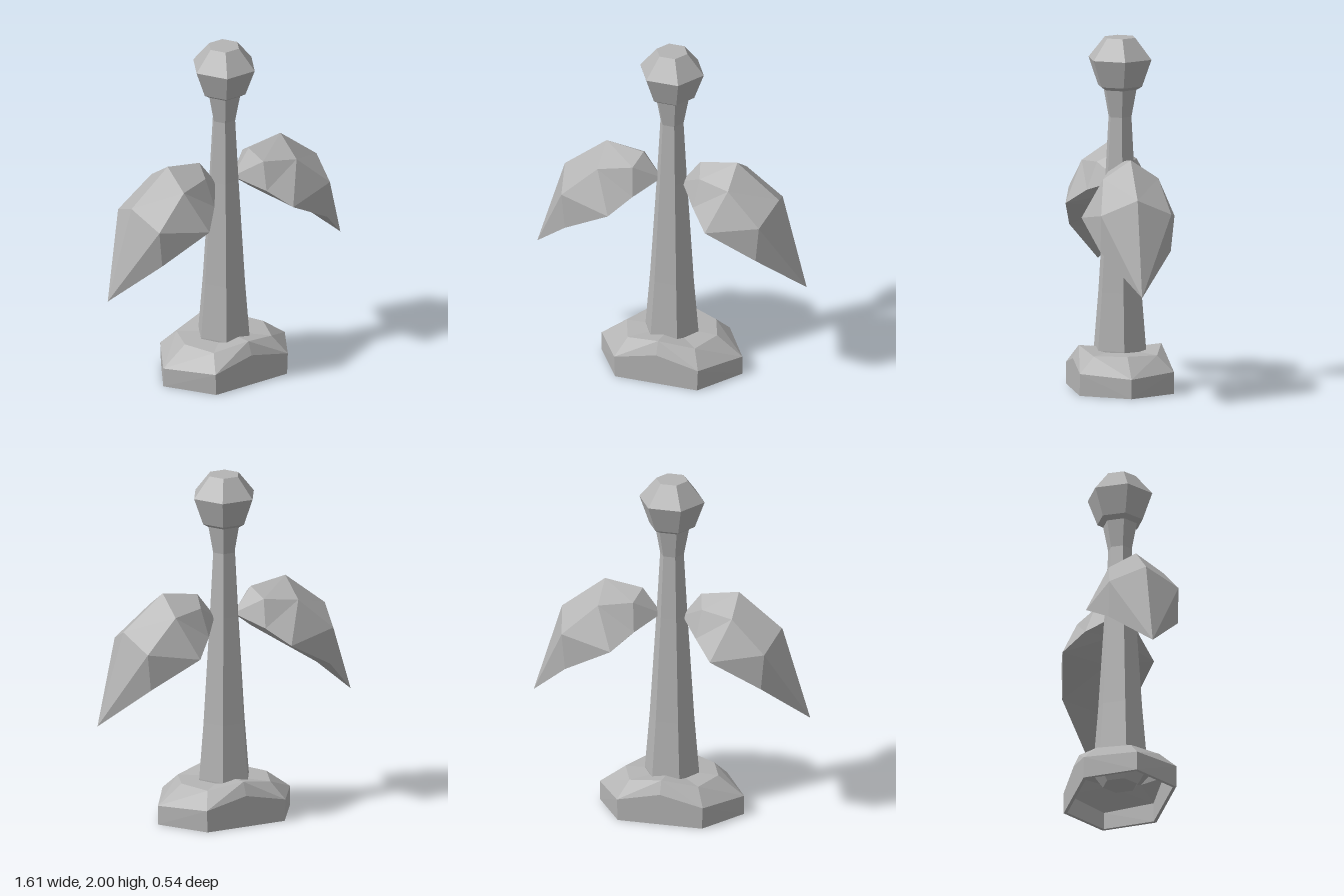
import * as THREE from 'three';

// Low-poly skin through rows of [x, y, z] points, mirrored across the given axes
function loft(rows, mirrorAxes) {
  const tris = [];
  const add = (...t) => {
    const [a, b, c] = t.map((p) => new THREE.Vector3(...p));
    if (b.sub(a).cross(c.sub(a)).length() > 1e-7) tris.push(t);
  };
  for (let i = 0; i < rows.length - 1; i++) {
    for (let j = 0; j < rows[i].length - 1; j++) {
      const a = rows[i][j], b = rows[i][j + 1];
      const c = rows[i + 1][j + 1], d = rows[i + 1][j];
      add(a, b, d);
      add(b, c, d);
    }
  }
  for (const axis of mirrorAxes) {
    const flip = (p) => p.map((v, k) => (k === axis ? -v : v));
    tris.push(...tris.map(([a, b, c]) => [flip(a), flip(c), flip(b)]));
  }
  const geo = new THREE.BufferGeometry();
  geo.setAttribute('position', new THREE.Float32BufferAttribute(tris.flat(2), 3));
  geo.computeVertexNormals();
  return geo;
}

// Six-sided turned shape with corners on the x axis
function hexLathe(profile) {
  const pts = profile.map(([r, y]) => new THREE.Vector2(r, y));
  return new THREE.LatheGeometry(pts, 6, Math.PI / 2);
}

export function createModel() {
  const group = new THREE.Group();
  const grey = new THREE.MeshStandardMaterial({ color: 0xb4b4b4, flatShading: true });
  grey.name = 'stone grey';
  const add = (name, geo) => {
    const mesh = new THREE.Mesh(geo, grey);
    mesh.name = name;
    group.add(mesh);
  };

  // Hollow base: one quarter, from the top outside, round the rim, to the inside
  const top = [0, 0.23, 0], ceiling = [0, 0.21, 0];
  add('base', loft([
    [top, top, top],
    [[0.27, 0.22, 0], [0.2, 0.215, 0.18], [0, 0.255, 0.235]],
    [[0.42, 0.11, 0], [0.25, 0.125, 0.268], [0, 0.18, 0.268]],
    [[0.42, 0, 0], [0.245, 0, 0.268], [0, 0, 0.268]],
    [[0.398, 0, 0], [0.234, 0, 0.25], [0, 0, 0.25]],
    [[0.398, 0.1, 0], [0.238, 0.115, 0.25], [0, 0.165, 0.25]],
    [[0.26, 0.202, 0], [0.19, 0.197, 0.165], [0, 0.235, 0.22]],
    [ceiling, ceiling, ceiling],
  ], [0, 2]));

  // Tapered stem, its rounded foot showing inside the base
  add('stem', hexLathe([
    [0, 0.07], [0.1, 0.09], [0.155, 0.17], [0.158, 0.23], [0.13, 0.56],
    [0.09, 1.18], [0.069, 1.55], [0.1, 1.71], [0, 1.73],
  ]));

  // Faceted bud
  add('bud', hexLathe([
    [0, 1.7], [0.1, 1.705], [0.133, 1.725], [0.19, 1.88], [0.092, 2], [0, 2],
  ]));

  // Drooping leaves: half sections from ridge to underside
  const base = [0.06, 1.175, 0], tip = [0.805, 0.63, 0];
  const leafRows = [
    [base, base, base, base],
    [[0.17, 1.32, 0], [0.2, 1.265, 0.1], [0.18, 1.11, 0.16], [0.17, 1.09, 0]],
    [[0.39, 1.355, 0], [0.39, 1.25, 0.157], [0.29, 1.02, 0.265], [0.33, 0.985, 0]],
    [[0.64, 1.16, 0], [0.59, 1.07, 0.2], [0.57, 0.86, 0.2], [0.59, 0.815, 0]],
    [tip, tip, tip, tip],
  ];
  const leaf = loft(leafRows, [2]);
  add('leftLeaf', leaf);
  add('rightLeaf', leaf.clone().rotateY(Math.PI));

  return group;
}
